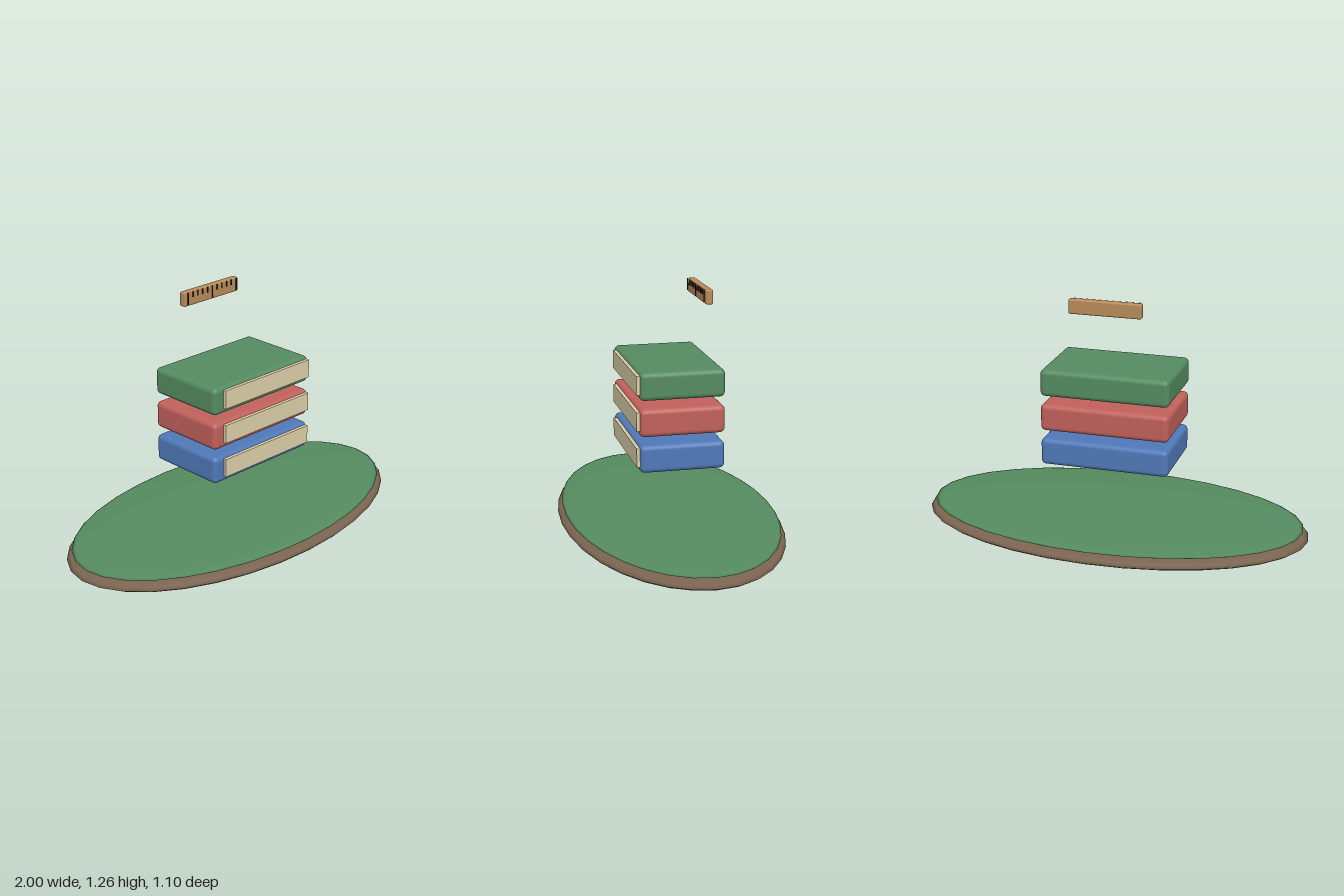
import * as THREE from 'three';
import { RoundedBoxGeometry } from 'three/addons/geometries/RoundedBoxGeometry.js';

const paint = (color) => new THREE.MeshStandardMaterial({ color });

function add(parent, name, geometry, material, x, y, z) {
  const mesh = new THREE.Mesh(geometry, material);
  mesh.name = name;
  mesh.position.set(x, y, z);
  parent.add(mesh);
  return mesh;
}

export function createModel() {
  const model = new THREE.Group();
  model.name = 'floatingBooksIsland';

  const earth = paint(0x7a6350);
  const grass = paint(0x558b60);
  const paper = paint(0xdccfa8);
  const wood = paint(0xb88a5a);
  const ink = paint(0x2a2018);

  // Oval island: flattened earth with a thinner grass layer on top
  const ball = new THREE.SphereGeometry(1, 32, 16);
  add(model, 'islandEarth', ball, earth, 0, 0.058, 0).scale.set(1, 0.058, 0.548);
  add(model, 'islandGrass', ball, grass, 0, 0.103, 0).scale.set(0.973, 0.02, 0.526);

  // Three floating books with a page block showing at the front
  const cover = new RoundedBoxGeometry(0.655, 0.138, 0.422, 4, 0.025);
  const pages = new THREE.BoxGeometry(0.58, 0.093, 0.04);
  [['blue', 0x4f78b8], ['red', 0xc0605a], ['green', 0x558b60]].forEach(([name, color], i) => {
    const book = new THREE.Group();
    book.name = name + 'Book';
    book.position.y = 0.469 + i * 0.1795;
    add(book, 'cover', cover, paint(color), 0, 0, 0);
    add(book, 'pages', pages, paper, 0.022, 0.008, 0.206);
    model.add(book);
  });

  // Ruler hovering above the books
  const ruler = new THREE.Group();
  ruler.name = 'ruler';
  ruler.position.set(0, 1.222, -0.165);
  add(ruler, 'rulerBody', new RoundedBoxGeometry(0.365, 0.073, 0.036, 3, 0.008), wood, 0, 0, 0);

  // Graduation marks just ahead of its face, longer at the ends and middle
  for (let i = 0; i <= 10; i++) {
    const length = i % 5 === 0 ? 0.06 : 0.028;
    add(ruler, 'mark', new THREE.BoxGeometry(0.006, length, 0.004), ink,
      (i - 5) * 0.0326, 0.035 - length / 2, 0.024);
  }
  model.add(ruler);

  return model;
}
